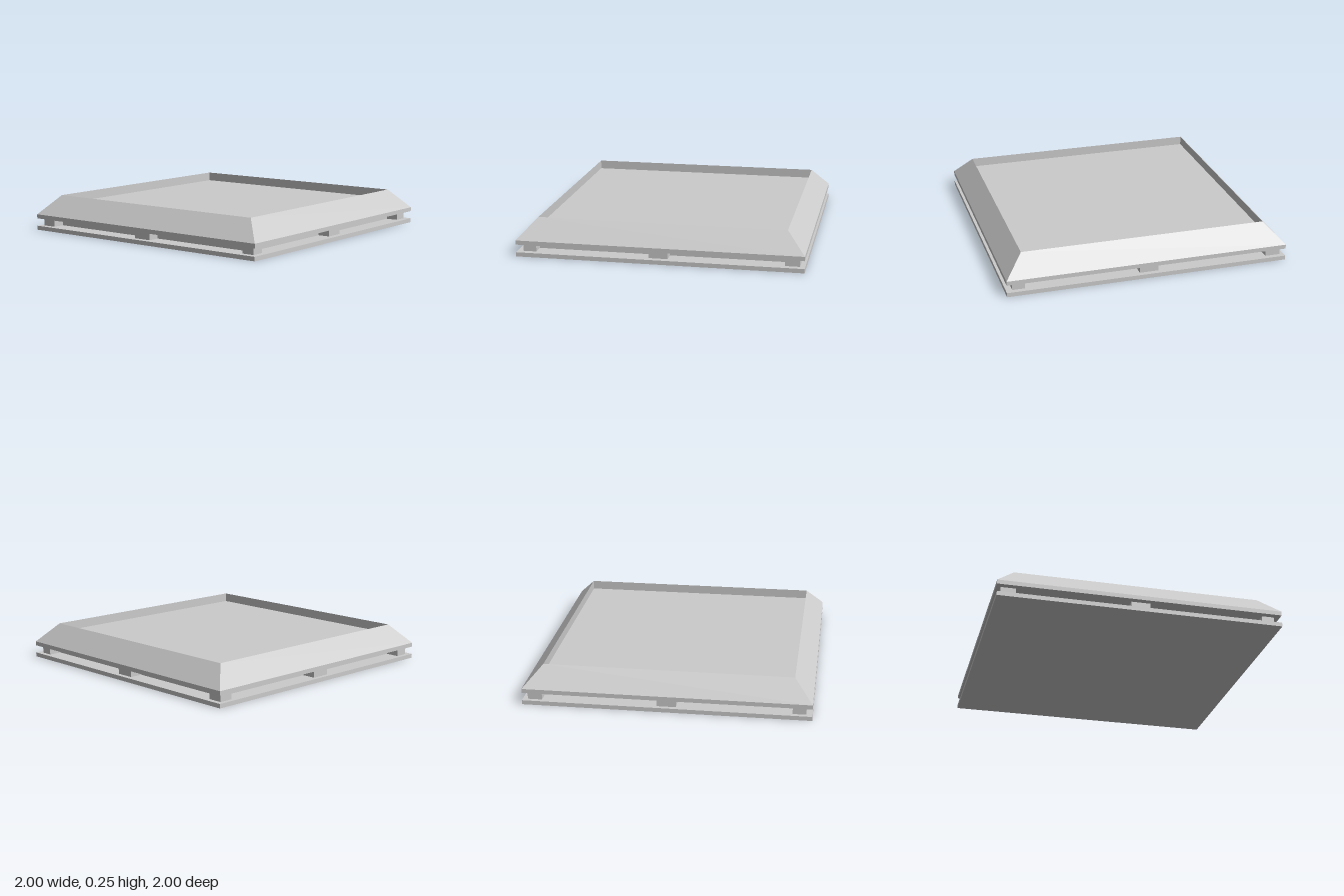
import * as THREE from 'three';

const material = new THREE.MeshStandardMaterial({ color: 0xcccccc, flatShading: true });

// Box given by its lower and upper corner
function box(name, [x0, y0, z0], [x1, y1, z1]) {
  const mesh = new THREE.Mesh(new THREE.BoxGeometry(x1 - x0, y1 - y0, z1 - z0), material);
  mesh.position.set((x0 + x1) / 2, (y0 + y1) / 2, (z0 + z1) / 2);
  mesh.name = name;
  return mesh;
}

// Square solid swept from a profile of [half width, height]
function squareLathe(name, profile) {
  const points = profile.map(([half, y]) => new THREE.Vector2(half * Math.SQRT2, y));
  const mesh = new THREE.Mesh(new THREE.LatheGeometry(points, 4, Math.PI / 4), material);
  mesh.name = name;
  return mesh;
}

export function createModel() {
  const model = new THREE.Group();
  model.name = 'recessedPlatform';

  // Bottom slab and the recessed core that carries the top
  model.add(box('basePlate', [-1, 0, -1], [1, 0.03, 1]));
  model.add(box('core', [-0.87, 0.03, -0.87], [0.87, 0.085, 0.87]));

  // Spacer blocks at the corners and the middle of each side
  const spacers = new THREE.Group();
  spacers.name = 'spacers';
  const xSpans = [[-0.97, -0.865], [-0.07, 0.063], [0.87, 0.957]];
  const zSpans = [[-0.965, -0.865], [-0.063, 0.07], [0.865, 0.957]];
  xSpans.forEach(([x0, x1], i) => zSpans.forEach(([z0, z1], j) => {
    if (i === 1 && j === 1) return;
    spacers.add(box('spacer', [x0, 0.03, z0], [x1, 0.085, z1]));
  }));
  model.add(spacers);

  // Bevelled top with a sharp rim around a sunken floor
  model.add(squareLathe('bevelledTop', [
    [0, 0.085], [1, 0.085], [1, 0.115], [0.87, 0.255], [0.87, 0.19], [0, 0.19],
  ]));

  return model;
}
